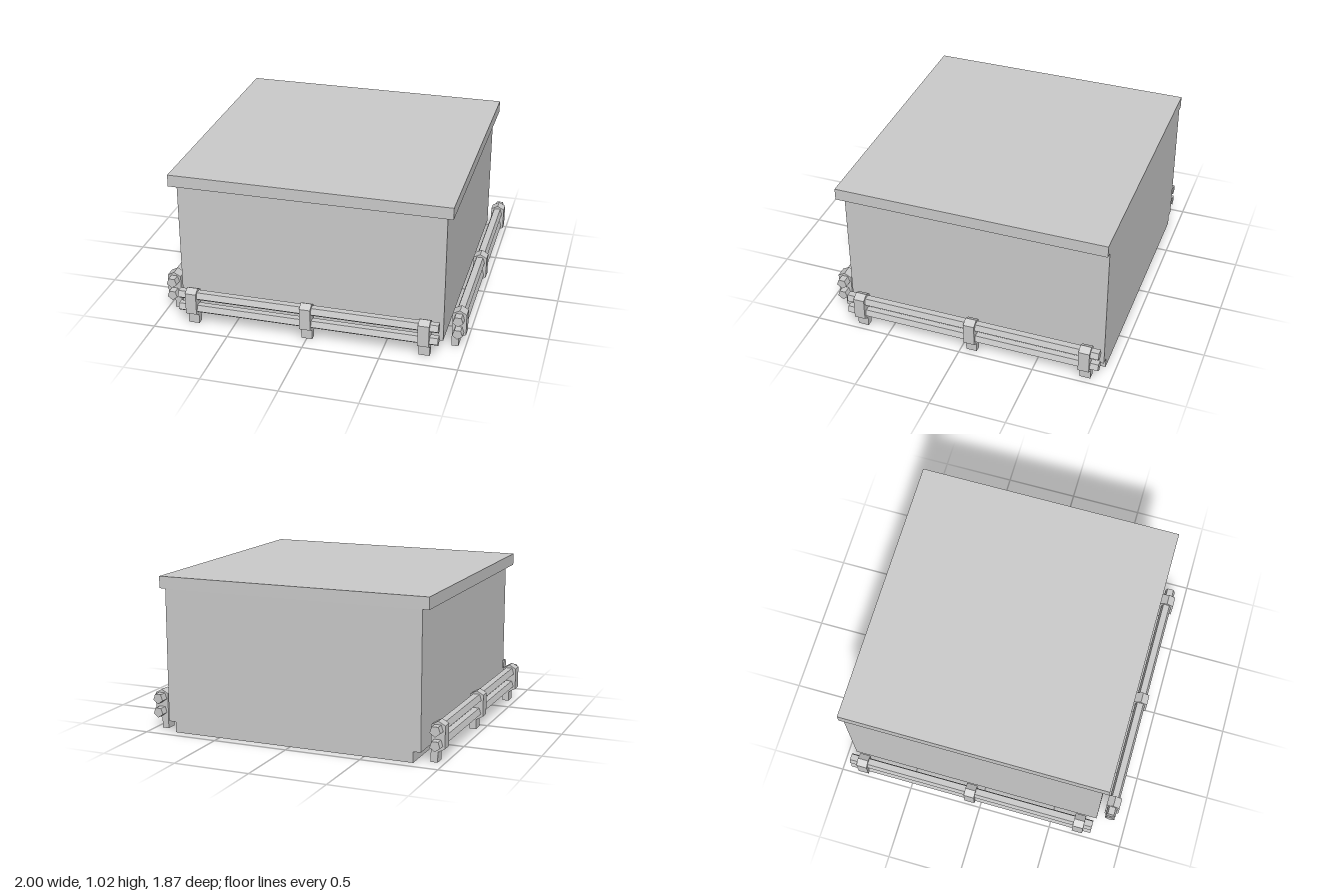
import * as THREE from 'three';

const material = new THREE.MeshStandardMaterial({ color: 0xcccccc, flatShading: true });

function part(name, geometry, parent) {
  const mesh = new THREE.Mesh(geometry, material);
  mesh.name = name;
  parent.add(mesh);
  return mesh;
}

// Box given by its half width, height range and depth range
function block(name, halfWidth, y0, y1, z0, z1, parent) {
  const mesh = part(name, new THREE.BoxGeometry(halfWidth * 2, y1 - y0, z1 - z0), parent);
  mesh.position.set(0, (y0 + y1) / 2, (z0 + z1) / 2);
}

// Extrude a (z, y) outline along x, centred on x = 0
function prism(points, length) {
  const shape = new THREE.Shape(points.map(([z, y]) => new THREE.Vector2(z, y)));
  return new THREE.ExtrudeGeometry(shape, { depth: length, bevelEnabled: false })
    .translate(0, 0, -length / 2)
    .rotateY(-Math.PI / 2);
}

// Five-sided rail outline with a flat top
function pentagon(z, y, radius) {
  return Array.from({ length: 5 }, (_, i) => {
    const a = -Math.PI / 2 + (i * Math.PI * 2) / 5;
    return [z + radius * Math.cos(a), y + radius * Math.sin(a)];
  });
}

// Fence running along x, outer side facing +z
function createFence(name) {
  const fence = new THREE.Group();
  fence.name = name;
  const postOutline = [
    [-0.045, 0], [0, 0], [0, 0.065], [0.045, 0.09],
    [0.045, 0.235], [0, 0.26], [-0.045, 0.235],
  ];
  for (const x of [-0.765, 0, 0.765]) {
    part('fencePost', prism(postOutline, 0.072), fence).position.x = x;
  }
  part('upperRail', prism(pentagon(-0.002, 0.209, 0.036), 1.71), fence);
  part('lowerRail', prism(pentagon(-0.002, 0.117, 0.035), 1.71), fence);
  return fence;
}

export function createModel() {
  const model = new THREE.Group();
  model.name = 'fencedBlock';

  // Recessed base, main body and overhanging top, flush at the back
  block('base', 0.82, 0, 0.07, -0.933, 0.755, model);
  block('body', 0.868, 0.07, 0.945, -0.933, 0.8, model);
  block('topSlab', 0.91, 0.945, 1.023, -0.933, 0.842, model);

  // Fences on the front and both sides
  const front = createFence('frontFence');
  front.position.z = 0.888;
  model.add(front);
  for (const side of [-1, 1]) {
    const fence = createFence(side > 0 ? 'leftFence' : 'rightFence');
    fence.rotation.y = (side * Math.PI) / 2;
    fence.position.set(side * 0.955, 0, -0.071);
    model.add(fence);
  }
  return model;
}
